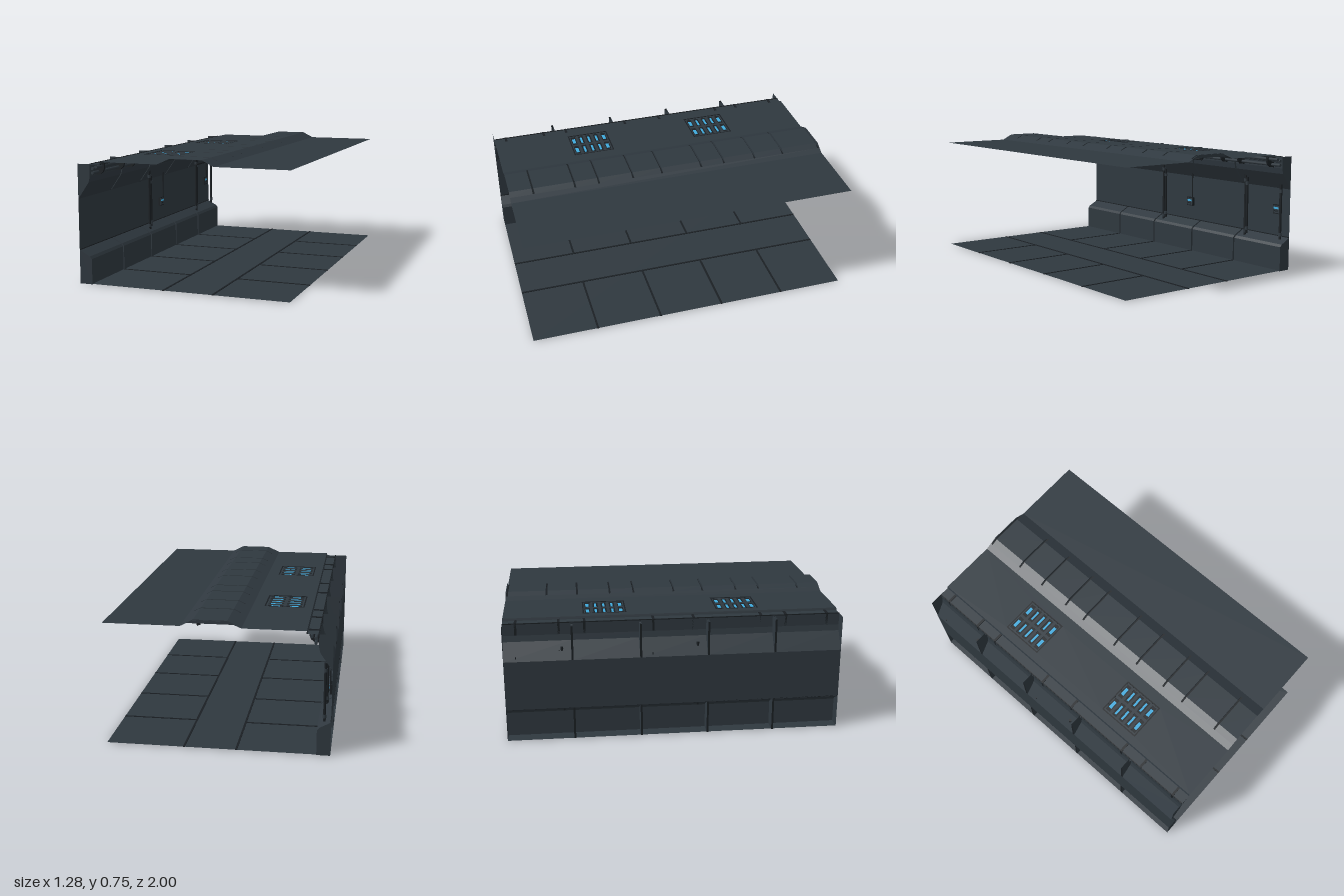
import * as THREE from 'three';

const mat = (name, color) => {
  const m = new THREE.MeshStandardMaterial({ color, side: THREE.DoubleSide });
  m.name = name;
  return m;
};

export function createModel() {
  const root = new THREE.Group();
  root.name = 'corridorSection';
  const body = mat('slatePanel', 0x2f383f);
  const dark = mat('darkSeam', 0x1a1f23);
  const blue = mat('blueLight', 0x3fa9dc);

  const add = (name, geo, material, parent = root) => {
    const m = new THREE.Mesh(geo, material);
    m.name = name;
    parent.add(m);
    return m;
  };
  const group = (name) => {
    const g = new THREE.Group();
    g.name = name;
    root.add(g);
    return g;
  };
  const box = (name, w, h, d, x, y, z, material, parent) => {
    const m = add(name, new THREE.BoxGeometry(w, h, d), material, parent);
    m.position.set(x, y, z);
    return m;
  };
  const rod = (name, r, len, x, y, z, material, parent, alongZ = false) => {
    const m = add(name, new THREE.CylinderGeometry(r, r, len, 10), material, parent);
    m.position.set(x, y, z);
    if (alongZ) m.rotation.x = Math.PI / 2;
    return m;
  };
  // Flat-faced sheet: an x,y profile swept from z0 to z1
  const sheet = (name, pts, z0, z1, material, parent) => {
    const v = [];
    for (let i = 0; i < pts.length - 1; i++) {
      const [ax, ay] = pts[i], [bx, by] = pts[i + 1];
      v.push(ax, ay, z0, ax, ay, z1, bx, by, z1, ax, ay, z0, bx, by, z1, bx, by, z0);
    }
    const g = new THREE.BufferGeometry();
    g.setAttribute('position', new THREE.Float32BufferAttribute(v, 3));
    g.computeVertexNormals();
    return add(name, g, material, parent);
  };
  const polygon = (pts) => new THREE.Shape(pts.map(([x, y]) => new THREE.Vector2(x, y)));
  const rect = (x0, x1, y0, y1) => polygon([[x0, y0], [x1, y0], [x1, y1], [x0, y1]]);
  const cap = (name, pts, z, material, parent) => {
    add(name, new THREE.ShapeGeometry(polygon(pts)), material, parent).position.z = z;
  };

  // Floor with seams beside the central walkway
  const floor = group('floor');
  sheet('floorSheet', [[-0.64, 0.003], [0.64, 0.003]], -1, 1, body, floor);
  for (const x of [-0.11, 0.19]) box('floorLongSeam', 0.012, 0.005, 2, x, 0.003, 0, dark, floor);
  for (const z of [-0.6, -0.2, 0.2, 0.6])
    for (const x of [-0.335, 0.415]) box('floorCrossSeam', 0.45, 0.005, 0.012, x, 0.003, z, dark, floor);

  // Wall: skirting, flat middle and overhang, broken by deep channels
  const wall = group('wall');
  const lower = [[-0.562, 0], [-0.562, 0.15], [-0.575, 0.165], [-0.64, 0.2]];
  const upper = [[-0.64, 0.5], [-0.57, 0.6], [-0.562, 0.635], [-0.562, 0.705]];
  const joints = [-1, -0.6, -0.2, 0.2, 0.6, 1];
  const half = 0.006;
  sheet('middlePanel', [[-0.64, 0.2], [-0.64, 0.5]], -1, 1, body, wall);
  for (let i = 0; i < 5; i++) {
    const z0 = joints[i] + (i ? half : 0), z1 = joints[i + 1] - (i < 4 ? half : 0);
    sheet('skirtingPanel', lower, z0, z1, body, wall);
    sheet('overhangPanel', upper, z0, z1, body, wall);
  }
  joints.forEach((z, i) => {
    const end = i === 0 || i === 5;
    for (const s of end ? [0] : [-half, half]) {
      cap('skirtingChannelSide', [...lower, [-0.64, 0]], z + s, body, wall);
      cap('overhangChannelSide', [...upper, [-0.64, 0.705]], z + s, body, wall);
    }
    if (end) return;
    sheet('skirtingChannelBack', [[-0.64, 0], [-0.64, 0.2]], z - half, z + half, dark, wall);
    sheet('overhangChannelBack', [[-0.64, 0.5], [-0.64, 0.705]], z - half, z + half, dark, wall);
  });
  box('skirtingTrim', 0.004, 0.005, 2, -0.638, 0.202, 0, dark, wall);

  // Vertical wall pipes
  const pipes = group('wallPipes');
  for (const [z, y0, y1] of [[0.14, 0.17, 0.57], [0.118, 0.19, 0.53], [-0.66, 0.17, 0.57],
    [-0.675, 0.19, 0.55], [-0.96, 0.19, 0.53]]) {
    rod('wallPipe', 0.008, y1 - y0, -0.6, (y0 + y1) / 2, z, dark, pipes);
    for (const y of [y0 + 0.03, y1 - 0.04]) rod('pipeCollar', 0.011, 0.02, -0.6, y, z, body, pipes);
  }

  // Wall control boxes with a small screen and a cable
  for (const [z, y, cableZ] of [[-0.108, 0.325, -0.13], [-0.905, 0.368, -0.928]]) {
    const g = group('controlBox');
    box('controlCase', 0.015, 0.058, 0.058, -0.632, y, z, dark, g);
    box('controlPanel', 0.004, 0.046, 0.046, -0.624, y, z, body, g);
    box('controlScreen', 0.004, 0.012, 0.04, -0.622, y + 0.008, z, blue, g);
    box('controlKeys', 0.004, 0.006, 0.03, -0.622, y - 0.01, z, dark, g);
    rod('controlCable', 0.004, 0.5 - y, -0.627, (y + 0.03 + 0.52) / 2, cableZ, dark, g);
  }

  // Conduits in the upper corner, held by brackets
  const conduit = group('cornerConduit');
  sheet('conduitCover', [[-0.562, 0.705], [-0.5, 0.705], [-0.495, 0.72]], -1, 1, body, conduit);
  for (const x of [-0.56, -0.495]) box('coverTrim', 0.005, 0.005, 2, x, 0.706, 0, dark, conduit);
  for (const [x, y] of [[-0.545, 0.655], [-0.545, 0.68], [-0.522, 0.69]])
    rod('conduitPipe', 0.009, 2, x, y, 0, body, conduit, true);
  const bracket = polygon([[-0.562, 0.706], [-0.505, 0.706], [-0.505, 0.675], [-0.514, 0.655],
    [-0.53, 0.641], [-0.562, 0.636]]);
  const bracketGeo = new THREE.ExtrudeGeometry(bracket, { depth: 0.014, bevelEnabled: false });
  for (const z of [0.12, 0.525, 0.675, 0.925])
    for (const s of [-1, 1]) {
      add('conduitBracket', bracketGeo, dark, conduit).position.z = s * z - 0.007;
      box('bracketTop', 0.062, 0.006, 0.014, -0.532, 0.707, s * z, dark, conduit);
    }

  // Ceiling: flat side with vent openings, raised centre, flat side
  const ceiling = group('ceiling');
  const ventX = -0.328, vw = 0.118, vd = 0.13;
  const flat = rect(-0.495, -0.14, -1, 1);
  for (const z of [-0.4, 0.4]) flat.holes.push(rect(ventX - vw, ventX + vw, z - vd, z + vd));
  const flatGeo = new THREE.ShapeGeometry(flat).rotateX(-Math.PI / 2);
  add('ceilingVentSide', flatGeo, body, ceiling).position.y = 0.72;
  sheet('ceilingOpenSide', [[0.2, 0.72], [0.64, 0.72]], -1, 1, body, ceiling);
  const hump = [[-0.1, 0.737], [-0.06, 0.755], [0.13, 0.755], [0.166, 0.737]];
  sheet('raisedSlope', [[-0.14, 0.72], hump[0]], -1, 1, body, ceiling);
  sheet('raisedSlope', [hump[3], [0.2, 0.72]], -1, 1, body, ceiling);
  const grooves = [-0.99, -0.745, -0.555, -0.35, -0.2, 0.055, 0.24, 0.455, 0.603, 0.857];
  let start = -1;
  for (const z of grooves) {
    sheet('raisedPanel', hump, start, z - half, body, ceiling);
    for (const s of [-half, half]) cap('grooveSide', hump, z + s, body, ceiling);
    sheet('grooveFloor', [hump[0], hump[3]], z - half, z + half, dark, ceiling);
    start = z + half;
  }
  sheet('raisedPanel', hump, start, 1, body, ceiling);

  // Cable slung under the raised centre
  rod('ceilingCable', 0.005, 2, 0.1, 0.73, 0, dark, ceiling, true);
  for (const z of grooves) box('cableClip', 0.02, 0.01, 0.014, 0.097, 0.734, z, dark, ceiling);

  // Ceiling vents: slotted plates holding two columns of lights
  const plate = rect(-vw + 0.008, vw - 0.008, -vd + 0.008, vd - 0.008);
  const rows = [-0.1, -0.05, 0, 0.05, 0.1];
  for (const z of rows)
    for (const x of [-0.055, 0.055]) plate.holes.push(rect(x - 0.046, x + 0.046, z - 0.016, z + 0.016));
  const rim = rect(-vw, vw, -vd, vd);
  rim.holes.push(rect(-vw + 0.008, vw - 0.008, -vd + 0.008, vd - 0.008));
  const slab = (s, depth) => new THREE.ExtrudeGeometry(s, { depth, bevelEnabled: false }).rotateX(-Math.PI / 2);
  const plateGeo = slab(plate, 0.012), rimGeo = slab(rim, 0.014);
  for (const z of [-0.4, 0.4]) {
    const vent = group('ceilingVent');
    vent.position.set(ventX, 0.706, z);
    add('ventPlate', plateGeo, body, vent);
    add('ventRim', rimGeo, dark, vent);
    rows.forEach((r, i) => {
      const outer = i === 0 || i === 4;
      for (const x of [-0.055, 0.055]) {
        box('ventSlot', 0.092, 0.002, 0.032, x, 0.007, r, dark, vent);
        box('ventLight', outer ? 0.05 : 0.064, 0.006, outer ? 0.02 : 0.013, x, 0.007, r, blue, vent);
      }
    });
  }
  return root;
}
